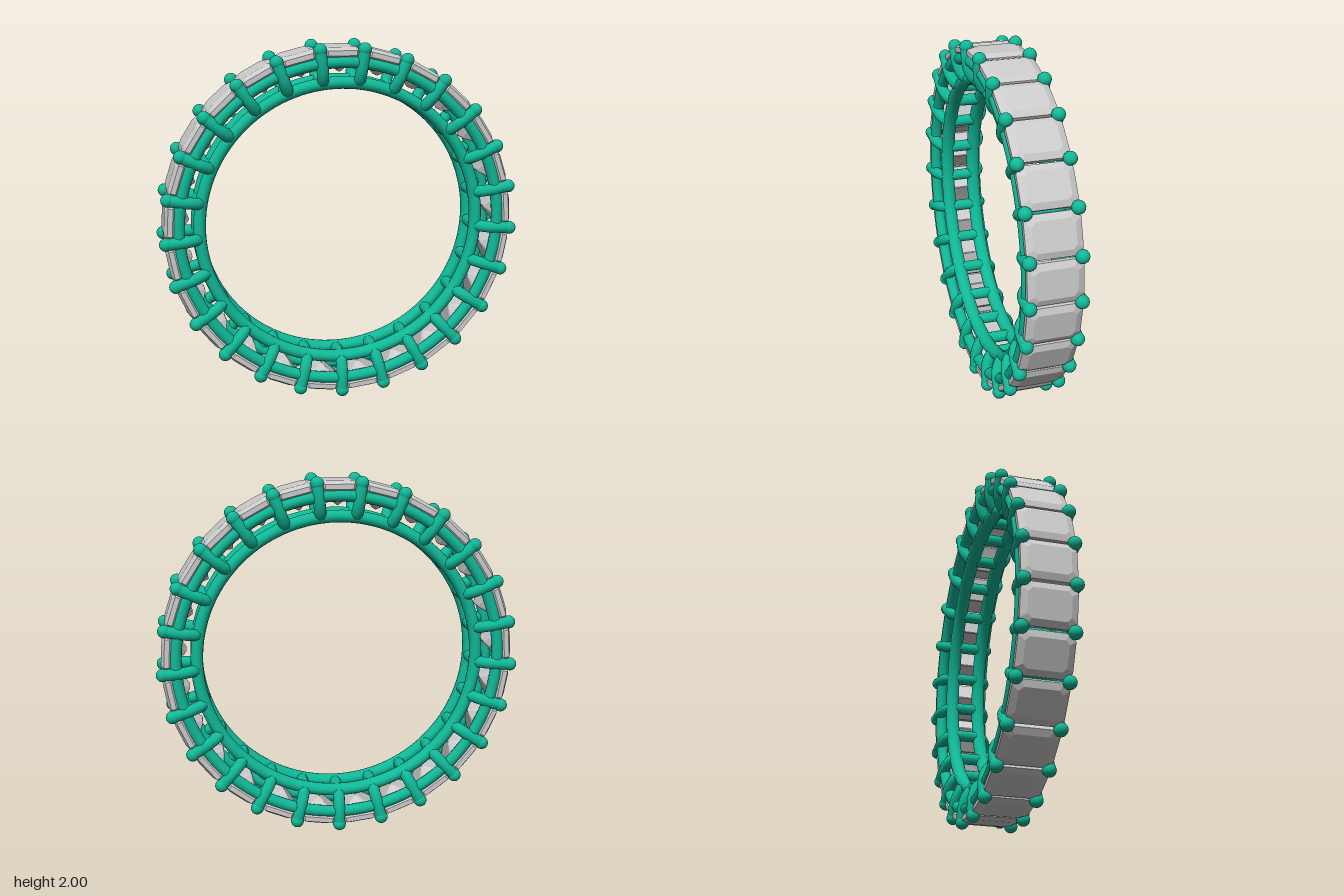
import * as THREE from 'three';

const COUNT = 25;
const CENTER_Y = 1.004;
const metal = new THREE.MeshStandardMaterial({ color: 0x10b897 });
const stone = new THREE.MeshStandardMaterial({ color: 0xcccccc, flatShading: true });

// Rectangle with cut corners, counter-clockwise seen from above
function octagon(y, hx, hz, cut) {
  return [
    [hx, hz - cut], [hx, cut - hz], [hx - cut, -hz], [cut - hx, -hz],
    [-hx, cut - hz], [-hx, hz - cut], [cut - hx, hz], [hx - cut, hz],
  ].map(([x, z]) => [x, y, z]);
}

// Step-cut gem lofted from octagonal sections, top to keel
function gemGeometry() {
  const loops = [
    octagon(0.972, 0.078, 0.112, 0.022),
    octagon(0.955, 0.113, 0.148, 0.035),
    octagon(0.928, 0.113, 0.148, 0.035),
    octagon(0.88, 0.055, 0.1, 0.018),
    octagon(0.835, 0.003, 0.05, 0.001),
  ];
  const pos = [];
  const tri = (a, b, c) => pos.push(...a, ...b, ...c);
  for (let k = 0; k < loops.length - 1; k++) {
    const up = loops[k], low = loops[k + 1];
    for (let i = 0; i < 8; i++) {
      const j = (i + 1) % 8;
      tri(up[i], low[i], low[j]);
      tri(up[i], low[j], up[j]);
    }
  }
  const top = loops[0], end = loops[loops.length - 1];
  for (let i = 1; i < 7; i++) {
    tri(top[0], top[i], top[i + 1]);
    tri(end[0], end[i + 1], end[i]);
  }
  const g = new THREE.BufferGeometry();
  g.setAttribute('position', new THREE.Float32BufferAttribute(pos, 3));
  g.computeVertexNormals();
  return g;
}

// U-shaped rib: up one side, across the inside of the ring, up the other side
function ribGeometry() {
  const half = [[0.137, 0.967], [0.137, 0.9], [0.127, 0.84], [0.1, 0.795], [0.05, 0.78]];
  const side = half.map(([z, r]) => new THREE.Vector3(0, r, z));
  const other = half.map(([z, r]) => new THREE.Vector3(0, r, -z)).reverse();
  const path = new THREE.CatmullRomCurve3([...side, new THREE.Vector3(0, 0.779, 0), ...other]);
  return new THREE.TubeGeometry(path, 40, 0.033, 12, false);
}

export function createModel() {
  const ring = new THREE.Group();
  ring.name = 'gemRing';
  ring.position.y = CENTER_Y;

  function add(parent, name, geometry, material) {
    const mesh = new THREE.Mesh(geometry, material);
    mesh.name = name;
    parent.add(mesh);
    return mesh;
  }

  // Paired rails: round ones under the gems, flatter ones at the finger hole
  const outerRail = new THREE.TorusGeometry(0.893, 0.032, 14, 125);
  const innerRail = new THREE.TorusGeometry(0.779, 0.034, 16, 125);
  innerRail.scale(1, 1, 1.15);
  for (const s of [1, -1]) {
    add(ring, 'outerRail', outerRail, metal).position.z = s * 0.125;
    add(ring, 'innerRail', innerRail, metal).position.z = s * 0.08;
  }

  // Ribs with rounded prong tips, and a gem between each neighbouring pair
  const rib = ribGeometry();
  const tip = new THREE.SphereGeometry(0.037, 16, 12);
  const gem = gemGeometry();
  const step = (Math.PI * 2) / COUNT;
  for (let i = 0; i < COUNT; i++) {
    const setting = new THREE.Group();
    setting.name = 'prongRib';
    setting.rotation.z = Math.PI + i * step;
    add(setting, 'rib', rib, metal);
    for (const s of [1, -1]) add(setting, 'prongTip', tip, metal).position.set(0, 0.967, s * 0.137);
    ring.add(setting);
    add(ring, 'gem', gem, stone).rotation.z = Math.PI + (i + 0.5) * step;
  }

  const model = new THREE.Group();
  model.name = 'ring';
  model.add(ring);
  return model;
}
